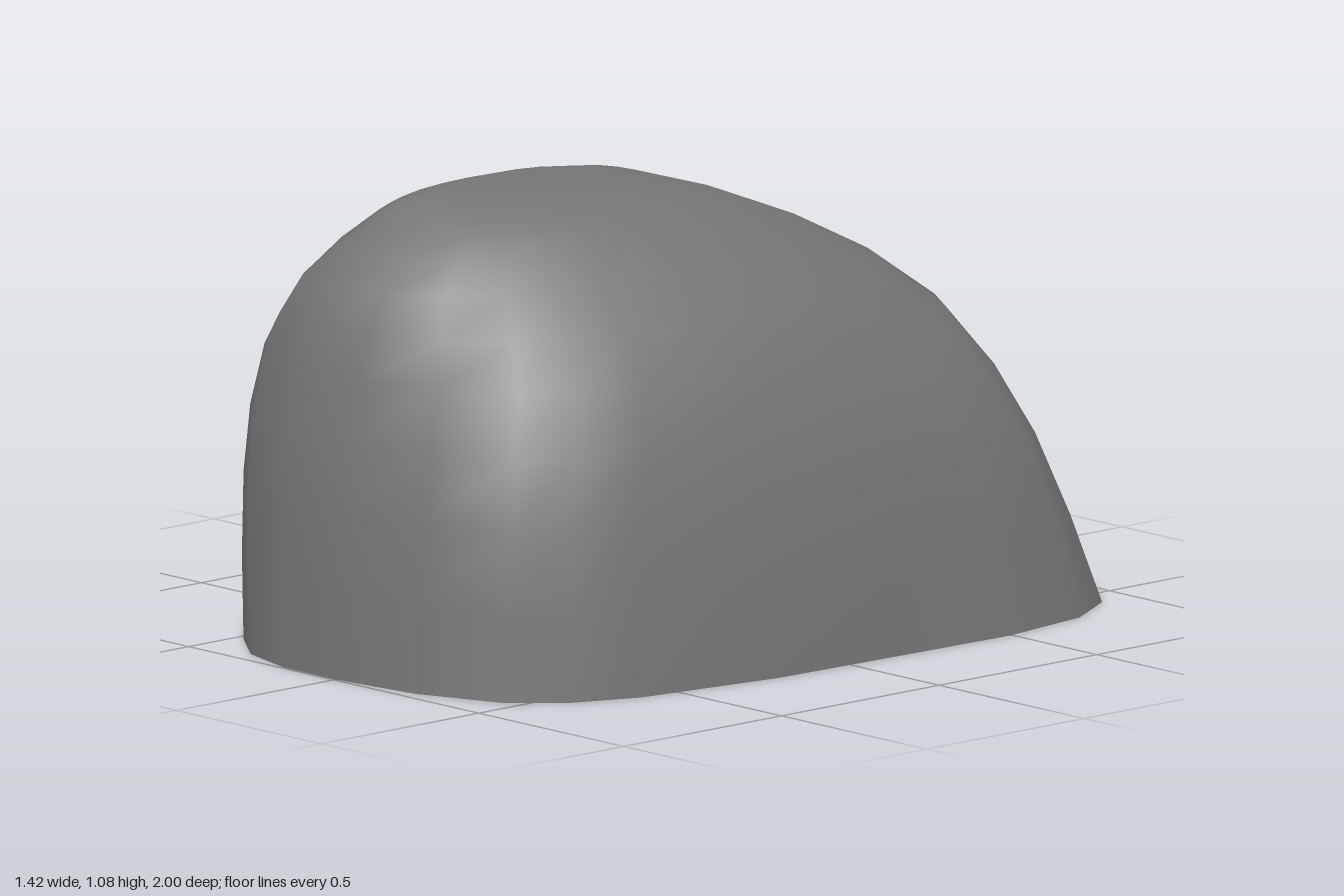
import * as THREE from 'three';

// Horizontal outlines of the rock as x, z pairs, clockwise from the back right corner
const SECTIONS = [
  [0.0, [.45, -1, .67, -.75, .70, -.2, .63, .6, .46, .88, 0, .995, -.34, .95, -.58, .70, -.705, 0, -.67, -.51, -.48, -.80, -.05, -.925]],
  [0.4, [.33, -.87, .55, -.7, .645, -.2, .58, .57, .44, .84, 0, .975, -.36, .94, -.58, .69, -.685, 0, -.655, -.49, -.485, -.745, -.08, -.855]],
  [0.7, [.19, -.73, .38, -.56, .53, -.1, .49, .47, .36, .74, 0, .92, -.36, .89, -.54, .65, -.63, .05, -.585, -.41, -.455, -.62, -.1, -.70]],
  [0.9, [0, -.46, .2, -.31, .38, .08, .33, .45, .22, .65, 0, .84, -.29, .83, -.42, .56, -.505, .14, -.49, -.19, -.395, -.36, -.2, -.45]],
  [1.02, [-.1, -.12, .05, -.06, .19, .2, .2, .39, .12, .56, 0, .69, -.17, .73, -.28, .6, -.36, .3, -.36, .02, -.3, -.11, -.2, -.14]],
];
const PEAK = new THREE.Vector3(-.15, 1.08, .55);
const AROUND = 24, STEPS = 2;

// Smooth closed loop through one outline
function outline([y, xz]) {
  const pts = [];
  for (let i = 0; i < xz.length; i += 2) pts.push(new THREE.Vector3(xz[i], y, xz[i + 1]));
  const curve = new THREE.CatmullRomCurve3(pts, true);
  return Array.from({ length: AROUND }, (_, j) => curve.getPoint(j / AROUND));
}

function rockGeometry() {
  const loops = SECTIONS.map(outline);
  // Small loop that rounds off the summit
  loops.push(loops.at(-1).map(p => p.clone().lerp(PEAK, .45).setY(1.058)));

  // Each column of points is smoothed from the base to the summit
  const rows = (loops.length - 1) * STEPS;
  const columns = Array.from({ length: AROUND }, (_, j) =>
    new THREE.CatmullRomCurve3(loops.map(l => l[j])).getPoints(rows));

  const position = [], index = [];
  for (let i = 0; i <= rows; i++)
    for (let j = 0; j < AROUND; j++) position.push(...columns[j][i].toArray());
  position.push(...PEAK.toArray());

  const top = (rows + 1) * AROUND;
  for (let j = 0; j < AROUND; j++) {
    const k = (j + 1) % AROUND;
    for (let i = 0; i < rows; i++) {
      const a = i * AROUND + j, b = i * AROUND + k, c = a + AROUND, d = b + AROUND;
      index.push(b, a, c, b, c, d);
    }
    index.push(rows * AROUND + k, rows * AROUND + j, top);
  }

  const geometry = new THREE.BufferGeometry();
  geometry.setAttribute('position', new THREE.Float32BufferAttribute(position, 3));
  geometry.setIndex(index);
  geometry.computeVertexNormals();
  return geometry;
}

export function createModel() {
  const model = new THREE.Group();
  model.name = 'boulder';
  // Open shell without a floor
  const rock = new THREE.Mesh(rockGeometry(),
    new THREE.MeshStandardMaterial({ color: 0x767676, side: THREE.DoubleSide }));
  rock.name = 'rockShell';
  model.add(rock);
  return model;
}
